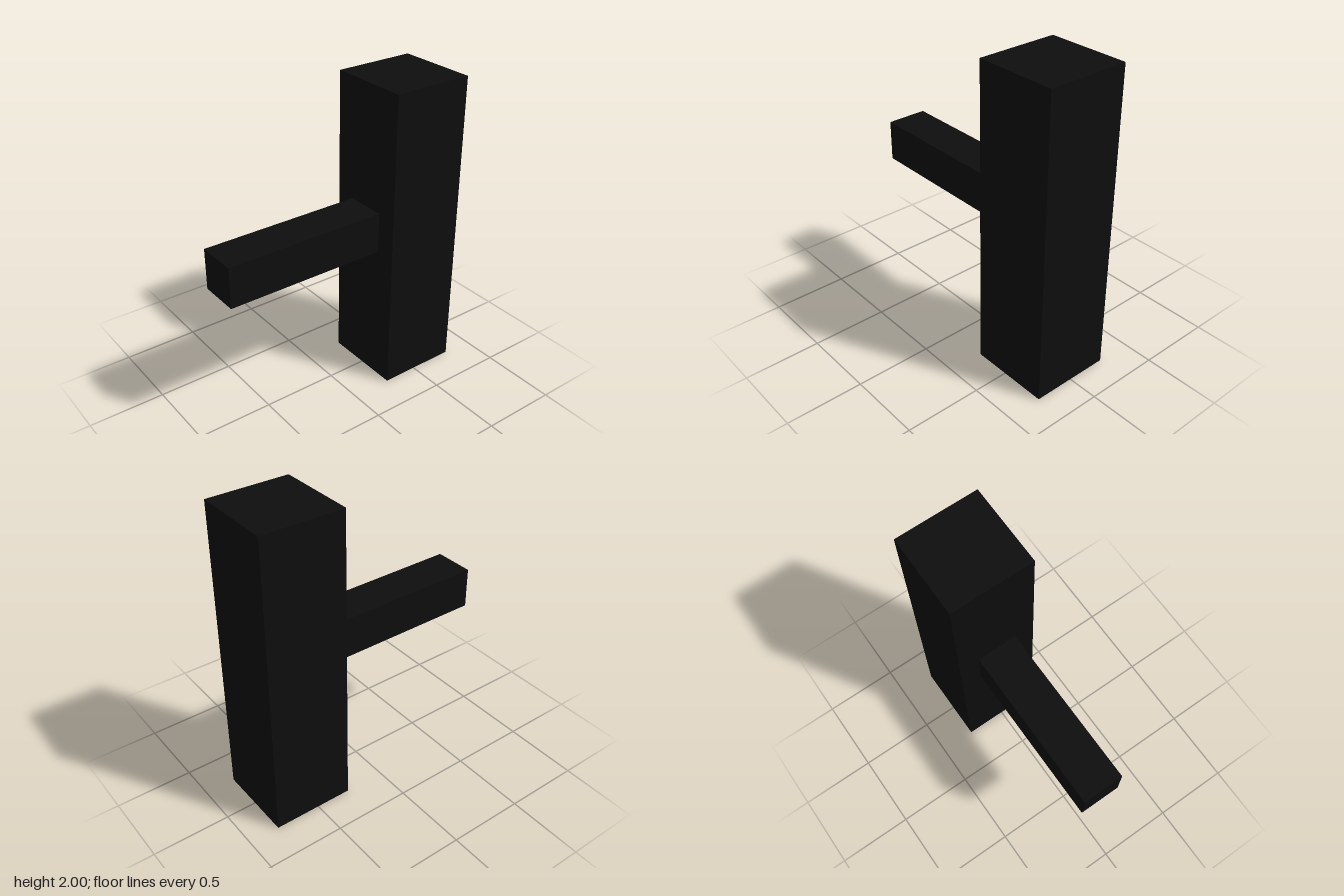
import * as THREE from 'three';

export function createModel() {
  const group = new THREE.Group();
  const black = new THREE.MeshStandardMaterial({ color: 0x0d0d0d });
  black.name = 'black';

  // Box given by its minimum and maximum corners
  const addBox = (name, min, max) => {
    const size = max.map((v, i) => v - min[i]);
    const mesh = new THREE.Mesh(new THREE.BoxGeometry(...size), black);
    mesh.position.set(...max.map((v, i) => (v + min[i]) / 2));
    mesh.name = name;
    group.add(mesh);
  };

  // Upright square post
  addBox('post', [0.267, 0, -0.267], [0.8, 2, 0.267]);
  // Horizontal bar butting against the side of the post
  addBox('sideBar', [-0.8, 0.933, -0.133], [0.267, 1.2, 0.133]);

  return group;
}
